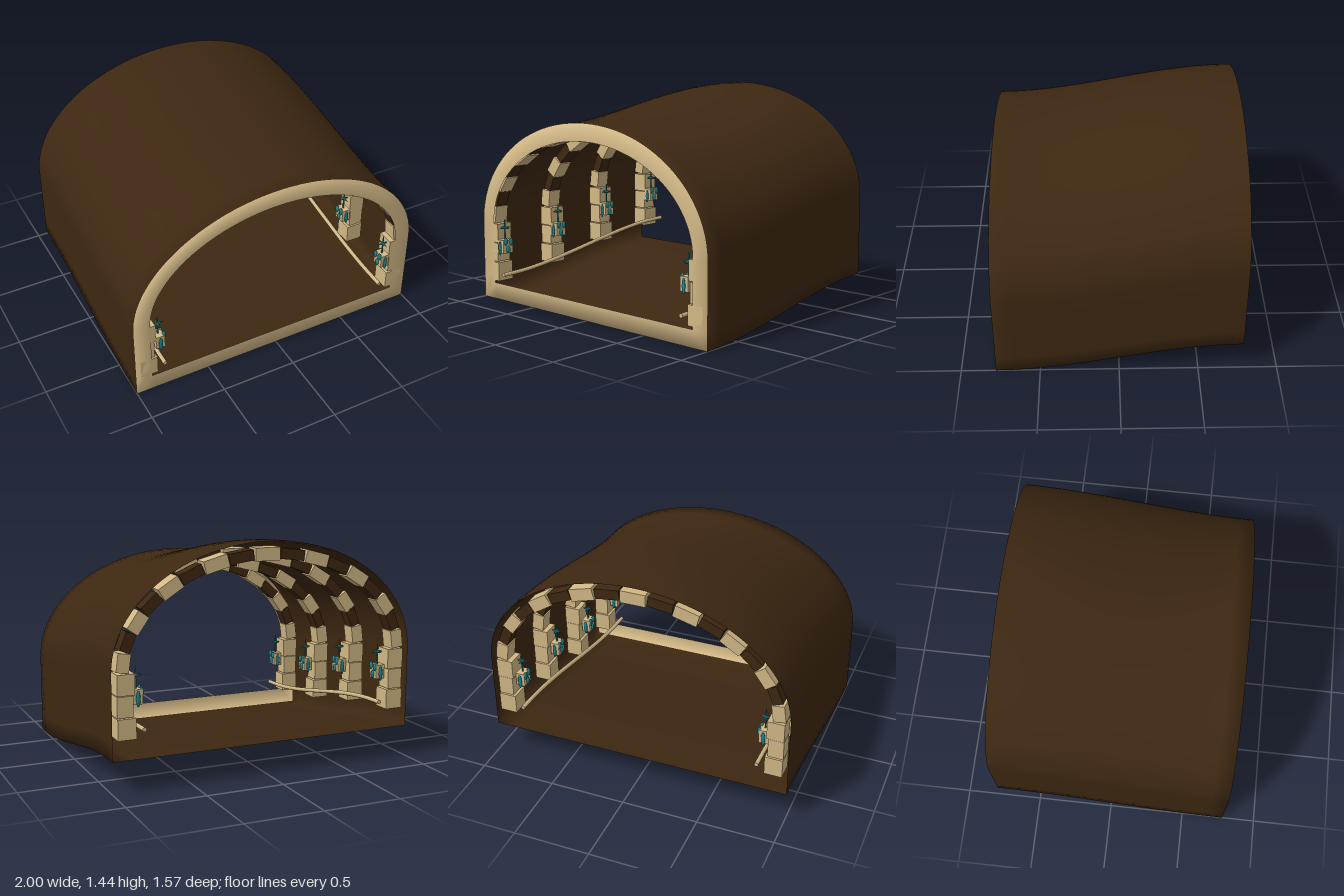
import * as THREE from 'three';

const earth = new THREE.MeshStandardMaterial({ color: 0x3d2711, side: THREE.DoubleSide });
earth.name = 'dark earth';
const stone = new THREE.MeshStandardMaterial({ color: 0xd2b886, side: THREE.DoubleSide });
stone.name = 'sandstone';
const teal = new THREE.MeshStandardMaterial({ color: 0x1f8288, side: THREE.DoubleSide });
teal.name = 'teal leaf';

const HALF = 0.78, SPRING = 0.52;

// Height of the passage floor: it climbs smoothly to the back
const rise = (z) => 0.2 * THREE.MathUtils.smoothstep(HALF - z, 0, 2 * HALF);

// Counterclockwise tunnel outline: wall, arch, wall, floor
function section(halfWidth, floorY, archHeight) {
  const pts = [];
  const WALL = 5, ARCH = 48, FLOOR = 16;
  for (let i = 0; i < WALL; i++) pts.push([halfWidth, floorY + (SPRING - floorY) * i / WALL]);
  for (let i = 0; i <= ARCH; i++) {
    const a = Math.PI * i / ARCH;
    pts.push([halfWidth * Math.cos(a), SPRING + archHeight * Math.sin(a)]);
  }
  for (let i = 1; i <= WALL; i++) pts.push([-halfWidth, SPRING + (floorY - SPRING) * i / WALL]);
  for (let i = 1; i < FLOOR; i++) pts.push([-halfWidth + 2 * halfWidth * i / FLOOR, floorY]);
  return pts;
}

// Swept shell and front rim share vertices, so the shading rolls over the edge
function tunnelGeometry() {
  const outer = section(1, 0, 0.724), inner = section(0.89, 0.11, 0.61);
  const n = outer.length, rows = 14, pos = [], idx = [];
  for (let k = 0; k <= rows; k++) {
    const z = HALF - 2 * HALF * k / rows;
    outer.forEach(([x, y]) => pos.push(x, y + rise(z), z));
  }
  inner.forEach(([x, y]) => pos.push(x, y, HALF));
  for (let k = 0; k < rows; k++) {
    for (let i = 0; i < n; i++) {
      const j = (i + 1) % n, a = k * n + i, b = k * n + j;
      idx.push(a, a + n, b, b, a + n, b + n);
    }
  }
  const shellCount = idx.length, base = (rows + 1) * n;
  for (let i = 0; i < n; i++) {
    const j = (i + 1) % n;
    idx.push(i, j, base + i, base + i, j, base + j);
  }
  const g = new THREE.BufferGeometry();
  g.setAttribute('position', new THREE.Float32BufferAttribute(pos, 3));
  g.setIndex(idx);
  g.addGroup(0, shellCount, 0);
  g.addGroup(shellCount, idx.length - shellCount, 1);
  g.computeVertexNormals();
  return g;
}

function add(parent, name, geometry, material, x, y, z) {
  const m = new THREE.Mesh(geometry, material);
  m.name = name;
  m.position.set(x, y, z);
  parent.add(m);
  return m;
}

// Alternating stone and earth blocks along the vault
function addArch(parent) {
  const rx = 0.925, ry = 0.645, count = 17, step = Math.PI / count;
  for (let i = 0; i < count; i++) {
    const a = step * (i + 0.5), c = Math.cos(a), s = Math.sin(a);
    const light = i % 2 === 0;
    const len = step * Math.hypot(rx * s, ry * c) * 0.95;
    const block = add(parent, light ? 'archStone' : 'archFiller',
      new THREE.BoxGeometry(len, light ? 0.08 : 0.065, light ? 0.1 : 0.085),
      light ? stone : earth, rx * c, SPRING + ry * s, 0);
    block.rotation.z = Math.atan2(rx * s, ry * c) - Math.PI / 2;
  }
}

// Three stacked blocks on one side
function addPillar(parent, side) {
  for (let i = 0; i < 3; i++) {
    const w = [0.115, 0.1, 0.11][i];
    add(parent, 'pillarBlock', new THREE.BoxGeometry(w, 0.127, [0.12, 0.105, 0.115][i]), stone,
      side * (0.965 - w / 2), 0.188 + i * 0.132, 0);
  }
}

// Stone planter on the pillar with teal leaves and a thin sprig
function addPlanter(parent, side) {
  const p = new THREE.Group();
  p.name = 'planter';
  p.position.set(side * 0.825, 0.365, 0.02);
  parent.add(p);
  add(p, 'planterBox', new THREE.BoxGeometry(0.06, 0.09, 0.08), stone, 0, 0, 0);
  add(p, 'sprigStem', new THREE.CylinderGeometry(0.004, 0.006, 0.16, 6), teal, 0, 0.1, 0);
  for (let i = 0; i < 4; i++) {
    const a = i * Math.PI / 2;
    const leaf = add(p, 'sprigLeaf', new THREE.ConeGeometry(0.012, 0.05, 4), teal,
      0.022 * Math.cos(a), 0.125, 0.022 * Math.sin(a));
    leaf.rotation.set(0, -a, -Math.PI / 2, 'YXZ');
  }
  const blob = new THREE.SphereGeometry(1, 8, 6);
  for (const [y, z] of [[-0.02, 0], [0.035, 0.02], [0.03, -0.025]])
    add(p, 'leafClump', blob, teal, -side * 0.031, y, z).scale.set(0.012, 0.026, 0.016);
  for (const z of [-0.045, 0.045])
    add(p, 'hangingLeaf', blob, teal, 0, -0.01, z).scale.set(0.014, 0.05, 0.007);
}

export function createModel() {
  const model = new THREE.Group();
  model.name = 'tunnel';
  add(model, 'shellAndRim', tunnelGeometry(), [earth, stone], 0, 0, 0);

  // Four ribs follow the slope
  for (let i = 0; i < 4; i++) {
    const z = 0.72 - i * 0.48;
    const rib = new THREE.Group();
    rib.name = 'rib';
    rib.position.set(0, rise(z), z);
    model.add(rib);
    addArch(rib);
    for (const side of [-1, 1]) {
      addPillar(rib, side);
      addPlanter(rib, side);
    }
  }

  // Handrails along both walls
  for (const side of [-1, 1]) {
    const path = [];
    for (let i = 0; i <= 10; i++) {
      const z = 0.77 - 1.54 * i / 10;
      path.push(new THREE.Vector3(side * 0.8, 0.175 + rise(z), z));
    }
    add(model, 'handrail', new THREE.TubeGeometry(new THREE.CatmullRomCurve3(path), 24, 0.014, 8), stone, 0, 0, 0);
    for (const end of [path[0], path[10]])
      add(model, 'railEnd', new THREE.CylinderGeometry(0.014, 0.014, 0.02, 8), stone, end.x, end.y, end.z).rotation.x = Math.PI / 2;
  }
  return model;
}
